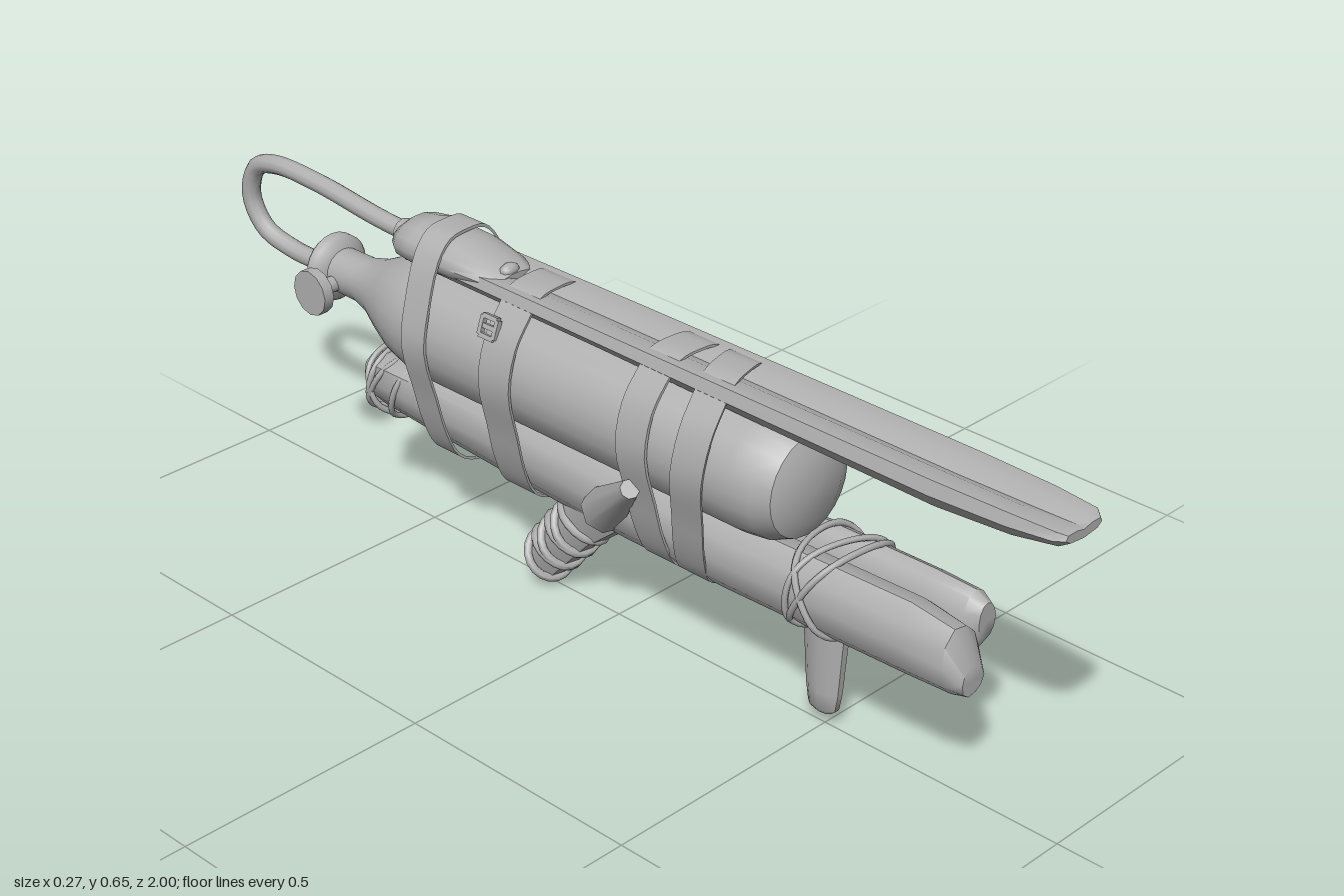
import * as THREE from 'three';
import { toCreasedNormals } from 'three/addons/utils/BufferGeometryUtils.js';

const grey = new THREE.MeshStandardMaterial({ color: 0xb0b0b0 });
grey.name = 'plain grey';

// Skins a list of equal-sized point rings, running from +z to -z, and caps the ends
function skin(rings, crease = 0.8) {
  const n = rings[0].length, pos = [], idx = [];
  rings.forEach(r => r.forEach(p => pos.push(...p)));
  for (let i = 0; i < rings.length - 1; i++) {
    for (let j = 0; j < n; j++) {
      const a = i * n + j, b = i * n + (j + 1) % n, c = a + n, d = b + n;
      idx.push(a, c, d, a, d, b);
    }
  }
  [0, rings.length - 1].forEach(i => {
    const c = pos.length / 3, sum = [0, 0, 0];
    rings[i].forEach(p => p.forEach((v, k) => { sum[k] += v / n; }));
    pos.push(...sum);
    for (let j = 0; j < n; j++) {
      const a = i * n + j, b = i * n + (j + 1) % n;
      idx.push(...(i === 0 ? [c, a, b] : [c, b, a]));
    }
  });
  const g = new THREE.BufferGeometry();
  g.setAttribute('position', new THREE.Float32BufferAttribute(pos, 3));
  g.setIndex(idx);
  return toCreasedNormals(g, crease);
}

// Elliptical sections given as [z, centre x, centre y, radius x, radius y]
function ovalLoft(sections, sides = 12, wobble = 0) {
  return skin(sections.map(([z, cx, cy, rx, ry]) => Array.from({ length: sides }, (_, j) => {
    const a = j / sides * Math.PI * 2;
    const w = 1 + wobble * Math.sin(a * 3 + 1 + z);
    return [cx + Math.cos(a) * rx * w, cy + Math.sin(a) * ry * w, z];
  })));
}

// Lathe along z from [z, radius] points in order of rising z
function turned(points, sides) {
  const g = new THREE.LatheGeometry(points.map(([z, r]) => new THREE.Vector2(r, z)), sides);
  return toCreasedNormals(g.rotateX(Math.PI / 2), 0.7);
}

const v = (x, y, z) => new THREE.Vector3(x, y, z);

export function createModel() {
  const model = new THREE.Group();
  const add = (name, geometry, x = 0, y = 0, z = 0, parent = model) => {
    const m = new THREE.Mesh(geometry, grey);
    m.name = name;
    m.position.set(x, y, z);
    parent.add(m);
    return m;
  };

  // Gas bottle with shoulder, neck and flanged mouth
  add('bottle', turned([[-0.76, 0], [-0.775, 0.03], [-0.775, 0.06], [-0.768, 0.066], [-0.75, 0.066],
    [-0.742, 0.06], [-0.735, 0.044], [-0.67, 0.045], [-0.62, 0.058], [-0.57, 0.082], [-0.52, 0.103],
    [-0.47, 0.115], [-0.42, 0.119], [0.36, 0.119], [0.41, 0.113], [0.445, 0.097], [0.46, 0.065], [0.464, 0]], 24),
    0, 0.465, 0);

  // Valve handle on the right of the neck
  add('valveStem', new THREE.CylinderGeometry(0.016, 0.016, 0.09, 10).rotateZ(Math.PI / 2), -0.045, 0.455, -0.72);
  add('valveKnob', new THREE.CylinderGeometry(0.045, 0.045, 0.022, 12).rotateZ(Math.PI / 2), -0.09, 0.455, -0.72);

  // Long grooved barrel: [z, half width, top, bottom]
  const barrel = [[1, 0.045, 0.612, 0.592], [0.985, 0.058, 0.618, 0.582], [0.9, 0.066, 0.62, 0.566],
    [0.75, 0.071, 0.62, 0.556], [0.4, 0.071, 0.62, 0.562], [0, 0.07, 0.62, 0.57], [-0.5, 0.066, 0.62, 0.572]];
  add('barrel', skin(barrel.map(([z, w, t, b]) => {
    const h = t - b;
    return [[w, b + h * 0.6], [w * 0.9, t], [w * 0.4, t], [0, t - h * 0.22], [-w * 0.4, t], [-w * 0.9, t],
      [-w, b + h * 0.6], [-w * 0.75, b + h * 0.2], [0, b], [w * 0.75, b + h * 0.2]].map(([x, y]) => [x, y, z]);
  }), 0.6));
  add('receiver', ovalLoft([[-0.25, -0.005, 0.61, 0.045, 0.014], [-0.29, -0.005, 0.612, 0.06, 0.026],
    [-0.36, -0.005, 0.615, 0.069, 0.042], [-0.47, -0.005, 0.615, 0.07, 0.046], [-0.51, -0.005, 0.613, 0.064, 0.042],
    [-0.535, -0.005, 0.608, 0.045, 0.028], [-0.54, -0.005, 0.606, 0.02, 0.014]], 14));
  add('sightBump', new THREE.SphereGeometry(0.02, 10, 6).scale(1.1, 0.7, 0.7), -0.01, 0.625, -0.265);

  // Hose looping from the receiver to the bottle mouth
  const hosePath = new THREE.CatmullRomCurve3([v(-0.005, 0.606, -0.52), v(-0.01, 0.615, -0.62), v(-0.015, 0.635, -0.78),
    v(-0.02, 0.638, -0.9), v(-0.02, 0.615, -0.96), v(-0.02, 0.55, -0.981), v(-0.015, 0.49, -0.95),
    v(-0.005, 0.463, -0.88), v(0, 0.46, -0.75)]);
  add('hose', new THREE.TubeGeometry(hosePath, 48, 0.0185, 10));
  add('hoseCollar', new THREE.CylinderGeometry(0.026, 0.026, 0.03, 10).rotateX(Math.PI / 2), -0.005, 0.606, -0.54);

  // Two log stocks side by side
  add('rightLog', ovalLoft([[0.82, -0.015, 0.255, 0.028, 0.028], [0.79, -0.016, 0.285, 0.048, 0.062],
    [0.7, -0.015, 0.29, 0.055, 0.07], [0.3, -0.018, 0.285, 0.058, 0.07], [0.05, -0.015, 0.285, 0.06, 0.072],
    [-0.2, -0.015, 0.292, 0.058, 0.072], [-0.5, -0.012, 0.295, 0.054, 0.062], [-0.6, -0.012, 0.295, 0.05, 0.056],
    [-0.64, -0.012, 0.295, 0.03, 0.035]], 10, 0.06));
  add('leftLog', ovalLoft([[0.77, 0.08, 0.305, 0.022, 0.035], [0.745, 0.08, 0.293, 0.038, 0.062],
    [0.66, 0.08, 0.286, 0.043, 0.072], [0.3, 0.08, 0.28, 0.045, 0.073], [0, 0.08, 0.282, 0.046, 0.076],
    [-0.25, 0.08, 0.292, 0.046, 0.076], [-0.45, 0.08, 0.286, 0.045, 0.066], [-0.57, 0.077, 0.292, 0.038, 0.055],
    [-0.62, 0.073, 0.302, 0.043, 0.062], [-0.66, 0.07, 0.302, 0.038, 0.056], [-0.675, 0.07, 0.3, 0.022, 0.035]], 12, 0.03));

  // Broken twig on the right-hand log
  const twig = add('twigStub', new THREE.CylinderGeometry(0.018, 0.045, 0.19, 8), -0.085, 0.325, 0.08);
  twig.quaternion.setFromUnitVectors(v(0, 1, 0), v(-0.07, 0.12, 0.13).normalize());

  // Front grip: flat tapered stick
  const frontGrip = add('frontGrip', ovalLoft([[0, 0, 0, 0.025, 0.052], [-0.08, 0, 0, 0.023, 0.046],
    [-0.18, 0, 0, 0.02, 0.038], [-0.215, 0, 0, 0.018, 0.032], [-0.225, 0, 0, 0.01, 0.02]], 10), 0, 0.265, 0.495);
  frontGrip.rotation.x = -Math.PI / 2;

  // Rear grip: slanted branch wrapped in cord
  const rearGrip = new THREE.Group();
  rearGrip.name = 'rearGrip';
  rearGrip.position.set(-0.002, 0.27, -0.015);
  rearGrip.rotation.x = -0.88;
  model.add(rearGrip);
  add('gripBranch', ovalLoft([[0.04, 0, 0, 0.055, 0.085], [-0.06, 0, 0, 0.046, 0.065], [-0.13, 0, 0, 0.041, 0.05],
    [-0.26, 0, 0, 0.039, 0.044], [-0.285, 0, 0, 0.034, 0.04], [-0.305, 0, -0.016, 0.012, 0.014]], 9, 0.05), 0, 0, 0, rearGrip);
  for (let i = 0; i < 6; i++) {
    const coil = add('gripCord', new THREE.TorusGeometry(0.045, 0.0085, 6, 18).scale(1, 1.14 - i * 0.02, 1),
      0, 0, -0.115 - i * 0.028, rearGrip);
    coil.rotation.set(i % 2 ? 0.28 : -0.12, i % 2 ? -0.2 : 0.22, 0);
  }

  // Cord lashings round both logs: [z, slant with y, slant with x]
  [[0.5, 0.55, 0.1], [0.49, -0.55, -0.1], [0.495, 0.1, 0.3],
    [-0.535, 0.35, 0], [-0.575, 0.5, 0.2], [-0.59, -0.3, 0.1], [-0.615, 0.2, -0.15]].forEach(([z, ky, kx]) => {
    const rear = z < 0, pts = [];
    for (let i = 0; i < 14; i++) {
      const a = i / 14 * Math.PI * 2, c = Math.cos(a), s = Math.sin(a);
      const x = Math.sign(c) * Math.abs(c) ** 0.8 * (rear ? 0.092 : 0.102);
      const y = Math.sign(s) * Math.abs(s) ** 0.8 * (rear ? 0.066 : 0.079);
      pts.push(v(0.027 + x, 0.287 + y, z + y * ky + x * kx));
    }
    add(rear ? 'rearLashing' : 'frontLashing', new THREE.TubeGeometry(new THREE.CatmullRomCurve3(pts, true), 48, 0.006, 6, true));
  });

  // Flat straps round barrel, bottle and logs: [z, width, top, slant with y, slant with x]
  [[0.245, 0.072, 0.627, 0.12, -0.25], [0.157, 0.07, 0.627, 0, 0.06],
    [-0.198, 0.078, 0.627, 0.04, -0.06], [-0.408, 0.062, 0.665, -0.03, -0.05]].forEach(([z, width, top, ky, kx]) => {
    const rim = new THREE.CatmullRomCurve3([[0, top], [0.045, top - 0.006], [0.076, top - 0.04], [0.108, 0.54], [0.124, 0.46],
      [0.129, 0.3], [0.115, 0.235], [0.07, 0.2], [0, 0.196], [-0.05, 0.222], [-0.08, 0.28], [-0.102, 0.36],
      [-0.126, 0.46], [-0.11, 0.54], [-0.078, top - 0.04], [-0.045, top - 0.006]].map(([x, y]) => v(x, y, 0)), true)
      .getPoints(48).slice(0, -1);
    const shape = new THREE.Shape(rim.map(p => new THREE.Vector2(p.x, p.y)));
    shape.holes.push(new THREE.Path(rim.map(p => new THREE.Vector2(p.x * 0.955, 0.43 + (p.y - 0.43) * 0.975))));
    const g = new THREE.ExtrudeGeometry(shape, { depth: width, bevelEnabled: false }).translate(0, 0, z - width / 2);
    const p = g.attributes.position;
    for (let i = 0; i < p.count; i++) p.setZ(i, p.getZ(i) + (p.getY(i) - 0.43) * ky + p.getX(i) * kx);
    add('strap', toCreasedNormals(g, 0.6));
  });

  // Buckles: open frame with a centre bar, facing +x before tilting
  const buckle = (x, y, z, tilt, size = 0.05) => {
    const frame = new THREE.Group();
    frame.name = 'buckle';
    frame.position.set(x, y, z);
    frame.rotation.z = tilt;
    model.add(frame);
    [-0.5, 0.5].forEach(k => {
      add('buckleSide', new THREE.BoxGeometry(0.01, size, 0.009), 0, 0, k * size, frame);
      add('buckleEnd', new THREE.BoxGeometry(0.01, 0.009, size), 0, k * size, 0, frame);
    });
    add('buckleBar', new THREE.BoxGeometry(0.008, 0.009, size), 0, 0, 0, frame);
  };
  buckle(0.119, 0.245, 0.225, -0.4);
  buckle(0.119, 0.245, 0.155, -0.4);
  buckle(0.085, 0.208, 0.19, -0.9);
  buckle(0.095, 0.213, -0.2, -0.7, 0.04);
  buckle(0.1, 0.57, -0.4, 0.35, 0.036);
  buckle(-0.103, 0.56, -0.22, -0.35, 0.036);

  return model;
}
